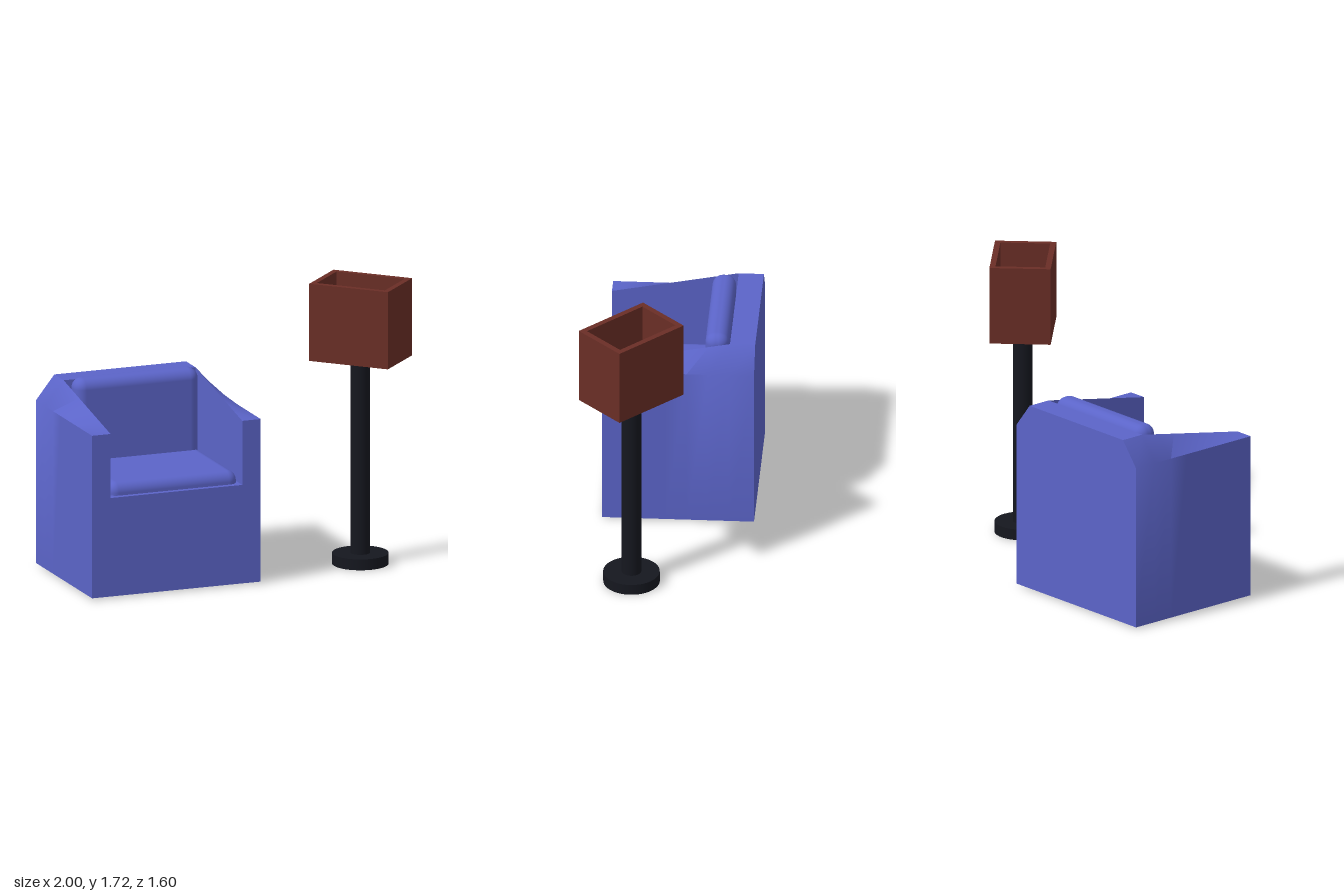
import * as THREE from 'three';
import { toCreasedNormals } from 'three/addons/utils/BufferGeometryUtils.js';
import { RoundedBoxGeometry } from 'three/addons/geometries/RoundedBoxGeometry.js';

const blue = new THREE.MeshStandardMaterial({ color: 0x5b64c8 });
const brown = new THREE.MeshStandardMaterial({ color: 0x6a2e26 });
const black = new THREE.MeshStandardMaterial({ color: 0x15171f });

function add(parent, name, geometry, material, x = 0, y = 0, z = 0) {
  const mesh = new THREE.Mesh(geometry, material);
  mesh.name = name;
  mesh.position.set(x, y, z);
  parent.add(mesh);
  return mesh;
}

// Armchair shell: a U-shaped section swept from front to back, filled in behind the seat
function shellGeometry() {
  const outer = 0.535, inner = 0.418, front = 0.449, backFace = -0.3;
  const bottom = 0.01, armTop = 1, backTop = 1.147, seatTop = 0.61;
  const section = (z, h, s) => [
    [-outer, bottom], [outer, bottom], [outer, armTop], [inner, h],
    [inner, s], [-inner, s], [-inner, h], [-outer, armTop],
  ].flatMap(([x, y]) => [x, y, z]);

  const positions = [];
  const steps = 6;
  for (let i = 0; i <= steps; i++) {
    const t = i / steps;
    positions.push(...section(
      THREE.MathUtils.lerp(front, backFace, t), THREE.MathUtils.lerp(armTop, backTop, t), seatTop));
  }
  positions.push(...section(backFace, backTop, backTop), ...section(-front, backTop, backTop));

  const n = 8, last = positions.length / 3 - n, index = [];
  for (let i = 0; i < last; i += n) {
    for (let j = 0; j < n; j++) {
      const a = i + j, b = i + (j + 1) % n;
      index.push(a, a + n, b + n, a, b + n, b);
    }
  }
  // Front and back faces
  for (const [a, b, c] of [[0, 1, 4], [0, 4, 5], [1, 2, 4], [2, 3, 4], [0, 5, 7], [5, 6, 7]]) {
    index.push(a, b, c, last + a, last + c, last + b);
  }
  const geometry = new THREE.BufferGeometry();
  geometry.setAttribute('position', new THREE.Float32BufferAttribute(positions, 3));
  geometry.setIndex(index);
  return toCreasedNormals(geometry, 0.8);
}

// Open-topped rectangular wall with an even thickness
function wallGeometry(width, depth, height, thickness) {
  const rectangle = (w, d) => [[-w, -d], [w, -d], [w, d], [-w, d]]
    .map(([x, y]) => new THREE.Vector2(x / 2, y / 2));
  const shape = new THREE.Shape(rectangle(width, depth));
  shape.holes.push(new THREE.Path(rectangle(width - 2 * thickness, depth - 2 * thickness).reverse()));
  return new THREE.ExtrudeGeometry(shape, { depth: height, bevelEnabled: false }).rotateX(-Math.PI / 2);
}

export function createModel() {
  const model = new THREE.Group();
  model.name = 'armchairAndLamp';

  // Armchair, turned to face the front left
  const chair = new THREE.Group();
  chair.name = 'armchair';
  chair.position.set(-0.305, 0, 0.104);
  chair.rotation.y = Math.PI / 4;
  model.add(chair);
  add(chair, 'chairShell', shellGeometry(), blue);
  add(chair, 'seatCushion', new RoundedBoxGeometry(0.82, 0.135, 0.83, 5, 0.06), blue, 0, 0.6175, 0);
  add(chair, 'backCushion', new RoundedBoxGeometry(0.785, 0.56, 0.14, 5, 0.062), blue, 0, 0.895, -0.22);

  // Floor lamp
  const lamp = new THREE.Group();
  lamp.name = 'floorLamp';
  lamp.position.set(0.745, 0, -0.62);
  model.add(lamp);
  add(lamp, 'lampBase', new THREE.CylinderGeometry(0.167, 0.167, 0.066, 40), black, 0, 0.033, 0);
  add(lamp, 'lampPole', new THREE.CylinderGeometry(0.058, 0.058, 1.2, 32), black, 0, 0.655, 0);
  add(lamp, 'shadeWalls', wallGeometry(0.505, 0.362, 0.44, 0.034), brown, 0.002, 1.28, 0);
  add(lamp, 'shadeFloor', new THREE.BoxGeometry(0.505, 0.03, 0.362), brown, 0.002, 1.265, 0);

  return model;
}
